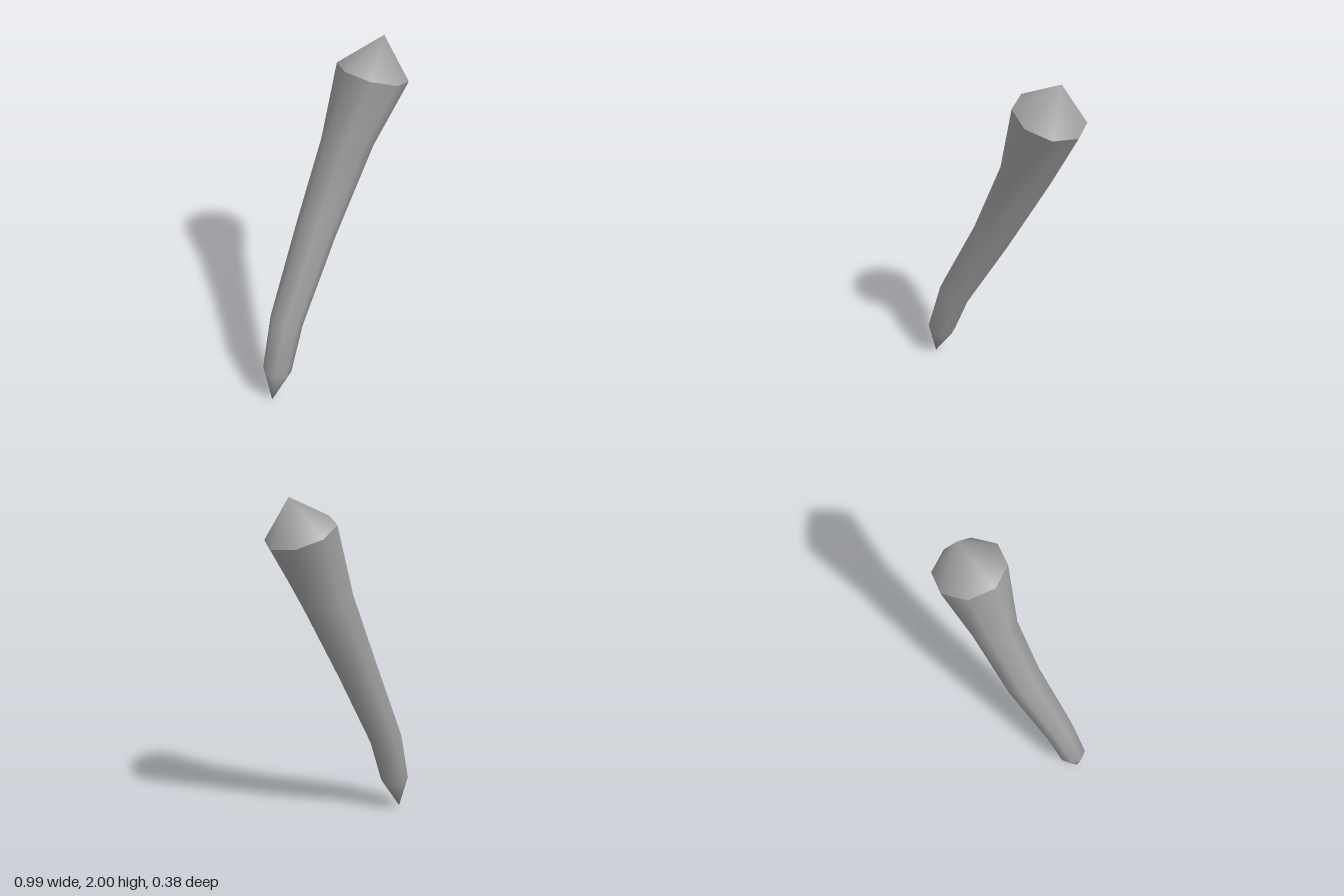
import * as THREE from 'three';

const SIDES = 8;

// Rings from bottom to top: centre x, y, z, radius x, radius z, slope of y along x
const RINGS = [
  [-0.415, 0.2, 0.08, 0.08, 0.08, 0.19],
  [-0.32, 0.49, 0.052, 0.09, 0.088, 0.44],
  [-0.068, 0.975, 0, 0.102, 0.11, 0.54],
  [0.158, 1.44, -0.015, 0.15, 0.125, 0.2],
  [0.31, 1.81, 0, 0.185, 0.19, 0.33],
];
const TIP = [-0.465, 0, 0.09];
const CROWN = [0.38, 2, 0];

function ringPoints([cx, cy, cz, rx, rz, slope]) {
  const points = [];
  for (let i = 0; i < SIDES; i++) {
    const a = (i / SIDES) * Math.PI * 2;
    const dx = Math.cos(a) * rx;
    points.push(cx + dx, cy - slope * dx, cz + Math.sin(a) * rz);
  }
  return points;
}

// Join rings with quads, optionally closing the ends with a point
function loft(rings, bottomPoint, topPoint) {
  const positions = rings.flatMap(ringPoints);
  const index = [];
  const lastRing = (rings.length - 1) * SIDES;
  for (let i = 0; i < SIDES; i++) {
    const j = (i + 1) % SIDES;
    for (let r = 0; r < lastRing; r += SIDES) {
      index.push(r + i, r + SIDES + i, r + j, r + j, r + SIDES + i, r + SIDES + j);
    }
    if (bottomPoint) index.push(i, j, rings.length * SIDES);
    if (topPoint) index.push(lastRing + j, lastRing + i, rings.length * SIDES);
  }
  positions.push(...(bottomPoint || topPoint));
  const geometry = new THREE.BufferGeometry();
  geometry.setAttribute('position', new THREE.Float32BufferAttribute(positions, 3));
  geometry.setIndex(index);
  geometry.computeVertexNormals();
  return geometry;
}

export function createModel() {
  const group = new THREE.Group();
  group.name = 'club';
  const grey = new THREE.MeshStandardMaterial({ color: 0xa0a0a0 });
  grey.name = 'grey';

  // Curved shaft tapering to a pointed lower end
  const shaft = new THREE.Mesh(loft(RINGS, TIP, null), grey);
  shaft.name = 'shaft';

  // Faceted cone closing the thick end, with its own hard rim
  const crown = new THREE.Mesh(loft(RINGS.slice(-1), null, CROWN), grey);
  crown.name = 'crown';

  group.add(shaft, crown);
  return group;
}
